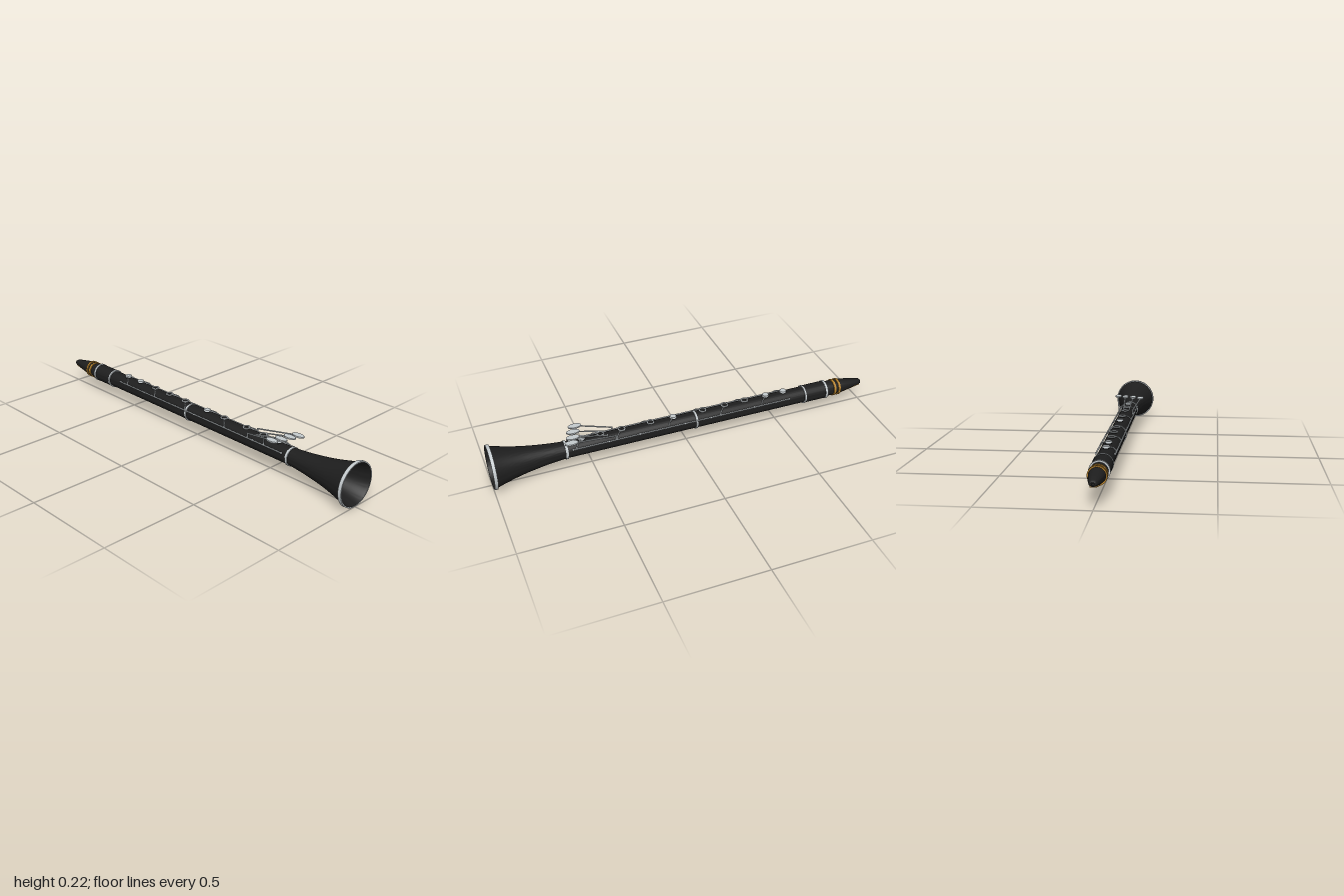
import * as THREE from 'three';
import { toCreasedNormals } from 'three/addons/utils/BufferGeometryUtils.js';

const AXIS = 0.111; // height of the bore above the ground

const mat = (name, color) => {
  const m = new THREE.MeshStandardMaterial({ color });
  m.name = name;
  return m;
};

export function createModel() {
  const black = mat('black wood', 0x1e1e1e);
  const silver = mat('silver', 0xc4cacd);
  const gold = mat('gold', 0xb5822e);
  const cane = mat('reed cane', 0xd0a050);

  const model = new THREE.Group();
  model.name = 'clarinet';
  const instrument = new THREE.Group();
  instrument.name = 'instrument';
  instrument.position.y = AXIS;
  model.add(instrument);

  const add = (name, geo, material, parent = instrument) => {
    const mesh = new THREE.Mesh(geo, material);
    mesh.name = name;
    parent.add(mesh);
    return mesh;
  };

  // Turned part along z from [radius, z] points; rising z faces outward
  const turned = (name, pts, material, seg = 64) => {
    const geo = new THREE.LatheGeometry(pts.map(([r, z]) => new THREE.Vector2(r, z)), seg);
    geo.rotateX(Math.PI / 2);
    return add(name, toCreasedNormals(geo, 0.6), material);
  };
  const sleeve = (name, z0, z1, ro, ri, material) =>
    turned(name, [[ri, z0], [ro, z0], [ro, z1], [ri, z1], [ri, z0]], material);

  // Straight rod between two points
  const rod = (name, a, b, r, parent = instrument) => {
    const p = new THREE.Vector3(...a), q = new THREE.Vector3(...b);
    const d = q.clone().sub(p);
    const mesh = add(name, new THREE.CylinderGeometry(r, r, d.length(), 10), silver, parent);
    mesh.position.copy(p).add(q).multiplyScalar(0.5);
    mesh.quaternion.setFromUnitVectors(new THREE.Vector3(0, 1, 0), d.normalize());
    return mesh;
  };

  // Bell, flared outside and inside
  const flare = [[0.042, 0.63], [0.045, 0.67], [0.051, 0.73], [0.059, 0.79], [0.069, 0.85],
    [0.081, 0.905], [0.094, 0.955], [0.106, 0.995]];
  const flareCurve = new THREE.SplineCurve(flare.map(([r, z]) => new THREE.Vector2(r, z)));
  const outer = flareCurve.getPoints(24).map((p) => [p.x, p.y]);
  const inner = [[0.104, 1], [0.098, 0.985], [0.083, 0.935], [0.066, 0.87], [0.051, 0.8],
    [0.038, 0.73], [0.028, 0.67], [0.0245, 0.63]];
  turned('bell', [...outer, ...inner], black, 72);
  sleeve('bellRim', 0.983, 1, 0.1095, 0.104, silver);

  // Body joints and barrel
  sleeve('lowerJoint', -0.045, 0.63, 0.042, 0.0245, black);
  sleeve('upperJoint', -0.655, -0.045, 0.042, 0.0245, black);
  sleeve('barrel', -0.78, -0.655, 0.0455, 0.0245, black);

  // Metal ferrules between the joints
  for (const [z, w, r] of [[0.63, 0.012, 0.0465], [-0.045, 0.01, 0.0465],
    [-0.656, 0.008, 0.0475], [-0.781, 0.013, 0.0475]]) {
    sleeve('ferrule', z - w / 2, z + w / 2, r, 0.03, silver);
  }

  // Mouthpiece: oval sections [z, halfWidth, top, bottom], then back along its bore
  const sections = [
    [-0.78, 0.040, 0.040, -0.040], [-0.86, 0.038, 0.038, -0.037], [-0.90, 0.034, 0.033, -0.031],
    [-0.95, 0.027, 0.024, -0.021], [-0.985, 0.020, 0.017, -0.014], [-0.996, 0.016, 0.013, -0.011],
    [-1, 0.011, 0.009, -0.008], [-1, 0.005, 0.005, -0.005], [-0.9, 0.022, 0.022, -0.022],
    [-0.78, 0.0245, 0.0245, -0.0245],
  ];
  const N = 40, pos = [], idx = [];
  sections.forEach(([z, w, top, bottom], i) => {
    for (let j = 0; j < N; j++) {
      const t = (j / N) * Math.PI * 2;
      pos.push(w * Math.cos(t), (top + bottom) / 2 + ((top - bottom) / 2) * Math.sin(t), z);
      if (i === sections.length - 1) continue;
      const a = i * N + j, b = i * N + ((j + 1) % N);
      idx.push(a, a + N, b, b, a + N, b + N);
    }
  });
  const beak = new THREE.BufferGeometry();
  beak.setAttribute('position', new THREE.Float32BufferAttribute(pos, 3));
  beak.setIndex(idx);
  add('mouthpiece', toCreasedNormals(beak, 0.7), black);

  // Ligature bands, with a thin liner ring in the bore
  for (const z of [-0.858, -0.832]) sleeve('ligatureBand', z - 0.006, z + 0.006, 0.0435, 0.036, gold);
  sleeve('boreRing', -0.8, -0.795, 0.0255, 0.0225, gold);

  // Reed lying along the underside of the beak
  const reed = add('reed', new THREE.BoxGeometry(0.026, 0.005, 0.14), cane);
  reed.position.set(0, -0.026, -0.925);
  reed.rotation.x = 0.21;

  // Long side rods with their posts
  for (const s of [-1, 1]) {
    rod('sideRod', [s * 0.044, 0.022, -0.56], [s * 0.044, 0.022, 0.6], 0.0038);
    for (const z of [-0.56, -0.36, -0.12, 0.02, 0.26, 0.42, 0.6]) {
      const post = add('post', new THREE.SphereGeometry(0.0055, 12, 8), silver);
      post.position.set(s * 0.043, 0.022, z);
    }
  }

  // Finger keys: plain cups and open rings, each linked to a side rod
  const keys = [[-0.54, 0], [-0.44, 0], [-0.32, 1], [-0.21, 1], [-0.09, 1], [0.07, 0],
    [0.19, 1], [0.34, 1], [0.45, 1], [0.545, 0]];
  keys.forEach(([z, open], i) => {
    const key = new THREE.Group();
    key.name = open ? 'ringKey' : 'cupKey';
    key.position.z = z;
    instrument.add(key);
    if (open) {
      const ring = add('ring', new THREE.TorusGeometry(0.0165, 0.004, 10, 28), silver, key);
      ring.rotation.x = Math.PI / 2;
      ring.position.y = 0.048;
      const chimney = add('toneHole', new THREE.CylinderGeometry(0.011, 0.012, 0.012, 24), black, key);
      chimney.position.y = 0.043;
    } else {
      const cup = add('cup', new THREE.CylinderGeometry(0.016, 0.018, 0.008, 28), silver, key);
      cup.position.y = 0.05;
      const pad = add('pad', new THREE.CylinderGeometry(0.014, 0.014, 0.008, 24), black, key);
      pad.position.y = 0.043;
    }
    const s = i % 2 ? 1 : -1;
    rod('linkArm', [s * 0.012, 0.048, 0.01], [s * 0.031, 0.038, 0.03], 0.003, key);
    rod('linkArm', [s * 0.031, 0.038, 0.03], [s * 0.044, 0.022, 0.04], 0.003, key);
  });

  // Little-finger levers: four oval paddles on slanting arms
  [[-0.064, 0.56, -0.037, 0.38], [-0.022, 0.58, -0.016, 0.42],
    [0.022, 0.593, 0.016, 0.42], [0.062, 0.61, 0.037, 0.38]].forEach(([x, z, ax, az]) => {
    const paddle = add('paddle', new THREE.CylinderGeometry(1, 1, 0.007, 32), silver);
    paddle.scale.set(0.0175, 1, 0.033);
    paddle.position.set(x, 0.079, z);
    rod('paddleArm', [ax, 0.042, az], [x, 0.076, z - 0.02], 0.0035);
    rod('armFoot', [ax, 0.015, az], [ax, 0.044, az], 0.004);
  });

  return model;
}
